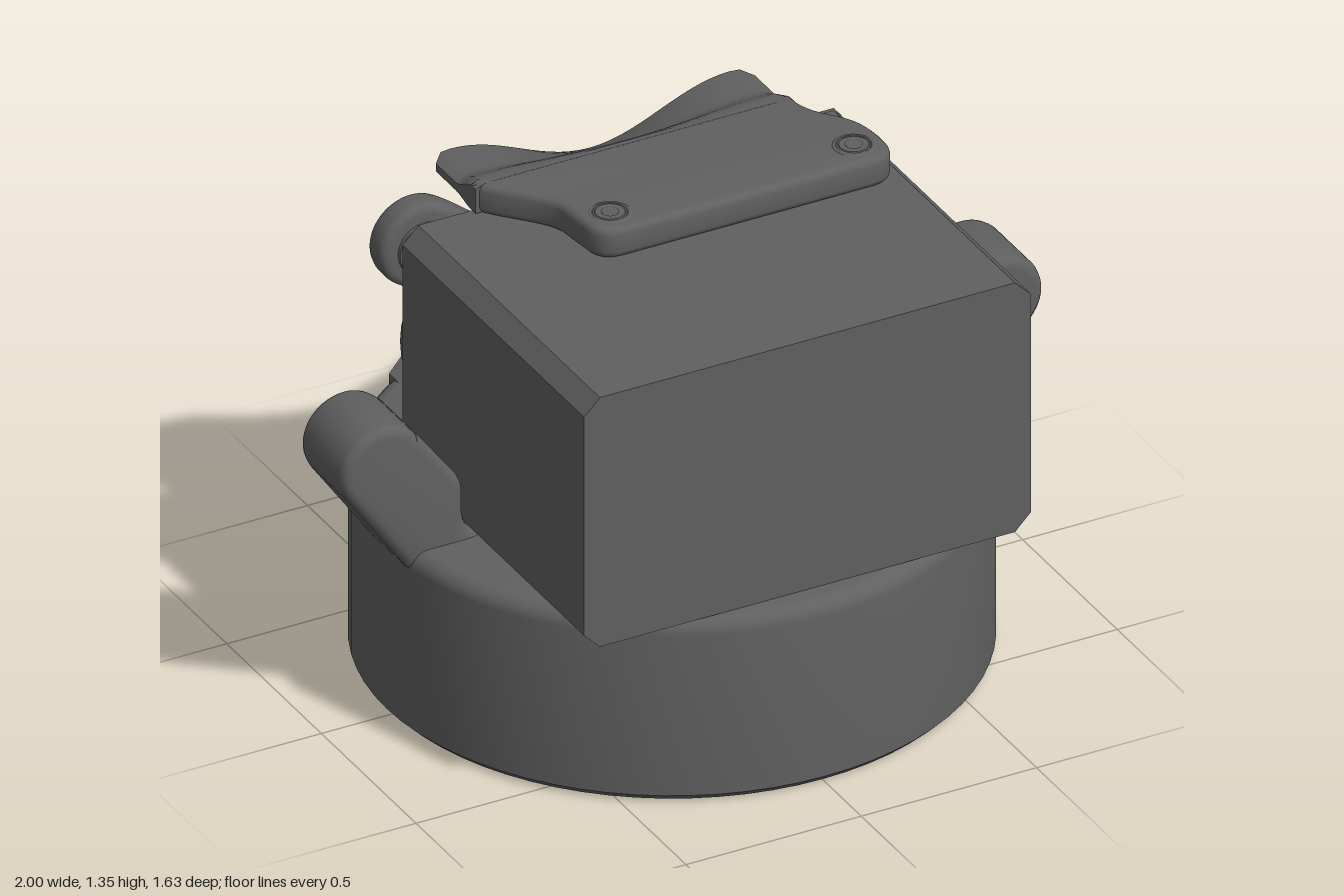
import * as THREE from 'three';
import { toCreasedNormals } from 'three/addons/utils/BufferGeometryUtils.js';

const material = new THREE.MeshStandardMaterial({ color: 0x606060 });

function add(parent, name, geometry, x = 0, y = 0, z = 0) {
  const mesh = new THREE.Mesh(geometry, material);
  mesh.name = name;
  mesh.position.set(x, y, z);
  parent.add(mesh);
  return mesh;
}

const outline = (points) => points.map((q) => new THREE.Vector2(...q));

// Extrusion from z0 to z1 with a rounded edge that stays inside the outline
function slab(shape, z0, z1, bevel) {
  const g = new THREE.ExtrudeGeometry(shape, {
    depth: z1 - z0 - 2 * bevel, bevelEnabled: bevel > 0, bevelSize: bevel,
    bevelThickness: bevel, bevelOffset: -bevel, bevelSegments: 3, curveSegments: 14,
  });
  g.translate(0, 0, z0 + bevel);
  return toCreasedNormals(g, 0.6);
}

// Box subdivided and reshaped: rule(u, v, w) gives the position for -0.5..0.5 coordinates
function shaped(nx, ny, nz, rule) {
  const g = new THREE.BoxGeometry(1, 1, 1, nx, ny, nz);
  const p = g.attributes.position;
  for (let i = 0; i < p.count; i++) p.setXYZ(i, ...rule(p.getX(i), p.getY(i), p.getZ(i)));
  return toCreasedNormals(g, 0.7);
}

// Almost flush screw head with a rim and a six-sided socket, facing +y
function screw() {
  const head = new THREE.Group();
  head.name = 'screw';
  const rim = [[0.055, 0], [0.052, 0.002], [0.046, 0.002], [0.044, 0.0005], [0.04, 0.0005], [0.038, 0.003], [0.022, 0.003]];
  add(head, 'screwRim', toCreasedNormals(new THREE.LatheGeometry(outline(rim), 30), 0.3));
  add(head, 'screwSocket', new THREE.CylinderGeometry(0.023, 0.023, 0.002, 6));
  return head;
}

function addScrew(parent, x, y, z, tilt = 0) {
  const head = screw();
  head.position.set(x, y, z);
  head.rotation.x = tilt;
  parent.add(head);
}

function disc(r, depth) {
  return new THREE.CylinderGeometry(r, r, depth, 40).rotateX(Math.PI / 2);
}

export function createModel() {
  const model = new THREE.Group();
  const R = 0.814;

  // Round cup, recessed underneath
  const profile = [[0, 0.13], [0.685, 0.13], [0.685, 0], [R - 0.02, 0], [R, 0.02], [R, 0.485]];
  for (let i = 1; i <= 5; i++) {
    const a = (i / 5) * Math.PI / 2;
    profile.push([R - 0.045 + 0.045 * Math.cos(a), 0.485 + 0.045 * Math.sin(a)]);
  }
  profile.push([0, 0.53]);
  add(model, 'base', toCreasedNormals(new THREE.LatheGeometry(outline(profile), 72), 0.5));

  // Box housing with chamfered long edges
  const c = 0.045, x0 = -0.65, x1 = 0.624, y0 = 0.53, y1 = 1.258;
  const section = new THREE.Shape(outline([
    [x0 + c, y0], [x1 - c, y0], [x1, y0 + c], [x1, y1 - c],
    [x1 - c, y1], [x0 + c, y1], [x0, y1 - c], [x0, y0 + c],
  ]));
  add(model, 'housing', slab(section, -0.22, 0.74, 0));

  // Side lugs, leaning outwards from the cup
  const lug = new THREE.Shape();
  lug.moveTo(0.56, 0.5);
  lug.lineTo(0.56, 0.528);
  lug.quadraticCurveTo(0.655, 0.53, 0.655, 0.62);
  lug.lineTo(0.655, 0.67);
  lug.quadraticCurveTo(0.655, 0.7, 0.675, 0.725);
  lug.lineTo(0.785, 0.87);
  lug.absarc(0.88, 0.793, 0.12, 2.46, -0.62, true);
  lug.lineTo(0.8, 0.47);
  lug.lineTo(0.7, 0.42);
  for (const side of [1, -1]) {
    const mesh = add(model, side > 0 ? 'leftLug' : 'rightLug', slab(lug, -0.117, 0.117, 0.025));
    if (side < 0) mesh.rotation.y = Math.PI;
  }

  // Rear bracket with two rounded lobes
  const bracket = new THREE.Group();
  bracket.name = 'rearBracket';
  model.add(bracket);
  const plate = new THREE.Shape();
  plate.moveTo(-0.3, 0.52);
  plate.lineTo(0.3, 0.52);
  plate.lineTo(0.3, 0.66);
  plate.bezierCurveTo(0.3, 0.76, 0.4, 0.77, 0.452, 0.825);
  plate.absarc(0.36, 0.902, 0.12, -0.69, Math.PI * 0.62, false);
  plate.bezierCurveTo(0.22, 0.97, 0.16, 0.86, 0, 0.86);
  plate.bezierCurveTo(-0.16, 0.86, -0.22, 0.97, -0.36 - 0.12 * Math.cos(Math.PI * 0.62), 0.902 + 0.12 * Math.sin(Math.PI * 0.62));
  plate.absarc(-0.36, 0.902, 0.12, Math.PI * 0.38, Math.PI + 0.69, false);
  plate.bezierCurveTo(-0.4, 0.77, -0.3, 0.76, -0.3, 0.66);
  add(bracket, 'bracketPlate', slab(plate, -0.725, -0.642, 0.022));

  // Flared foot blending the bracket into the cup wall
  add(bracket, 'bracketFoot', shaped(20, 16, 1, (u, v, w) => {
    const y = 0.6 + 0.28 * v;
    const t = Math.min(1, (0.74 - y) / 0.21);
    const x = 2 * u * (0.285 + 0.15 * t ** 4);
    const outer = -0.72 + (0.72 - Math.sqrt((R + 0.001) ** 2 - x * x)) * t ** 1.3;
    const inner = -0.645 + 0.055 * t ** 5;
    return [x, y, w > 0 ? inner : outer];
  }));
  for (const x of [-0.36, 0.36]) {
    addScrew(bracket, x, 0.9, -0.725, -Math.PI / 2);
    add(bracket, 'bracketPad', disc(0.075, 0.014), x, 0.9, -0.637);
  }

  // Top clip plate, drawn in x and -z
  const clip = new THREE.Shape();
  clip.moveTo(-0.455, 0.225);
  clip.lineTo(-0.455, 0.215);
  clip.bezierCurveTo(-0.42, 0.14, -0.31, 0.07, -0.31, 0);
  clip.lineTo(-0.3, -0.09);
  clip.quadraticCurveTo(-0.295, -0.165, -0.22, -0.165);
  clip.lineTo(0.49, -0.165);
  clip.quadraticCurveTo(0.56, -0.16, 0.56, -0.09);
  clip.bezierCurveTo(0.57, 0.1, 0.455, 0.07, 0.455, 0.215);
  clip.lineTo(0.455, 0.225);
  const top = new THREE.Group();
  top.name = 'topClip';
  model.add(top);
  add(top, 'clipPlate', slab(clip, 1.257, 1.344, 0.02).rotateX(-Math.PI / 2));
  for (const x of [-0.22, 0.475]) addScrew(top, x, 1.344, 0.08);

  // Rear lip of the clip, dished down across its middle, with rounded corners
  add(top, 'clipLip', shaped(32, 1, 14, (u, v, w) => {
    const t = 0.5 - w;
    const x = 0.91 * u;
    const step = THREE.MathUtils.smoothstep(t, 0.1, 0.5);
    const dish = 0.5 + 0.5 * Math.cos(Math.PI * Math.min(1, Math.abs(x) / 0.4));
    const drop = 0.11 * dish * t ** 1.25;
    const edge = Math.max(0, (Math.abs(x) - 0.415) / 0.04);
    const upper = 1.3445 - 0.034 * step - 0.012 * edge ** 2;
    const lower = 1.262 + 0.014 * step;
    return [x, (v > 0 ? upper : lower) - drop, -0.195 - (0.24 - 0.03 * edge ** 2) * t];
  }));

  // Rear fittings of the housing: round cover, hinge strip, slotted arm and knob
  const rear = new THREE.Group();
  rear.name = 'rearFittings';
  model.add(rear);
  add(rear, 'roundCover', disc(0.28, 0.055), -0.35, 0.9, -0.2425);
  add(rear, 'hingeStrip', new THREE.BoxGeometry(0.07, 0.69, 0.04), 0.565, 0.895, -0.237);
  const arm = new THREE.Shape(outline([
    [0.54, 0.66], [0.54, 1.15], [0.5, 1.15], [0.43, 0.99], [0.34, 0.94], [0.34, 0.83], [0.43, 0.78], [0.5, 0.66],
  ]));
  arm.holes.push(new THREE.Path(outline([[0.515, 0.73], [0.465, 0.82], [0.465, 0.95], [0.515, 1.07]])));
  add(rear, 'latchArm', slab(arm, -0.255, -0.215, 0));
  add(rear, 'latchKnob', disc(0.1, 0.045), 0.352, 0.885, -0.24);
  add(rear, 'latchKnobCap', disc(0.075, 0.055), 0.352, 0.885, -0.2425);

  return model;
}
